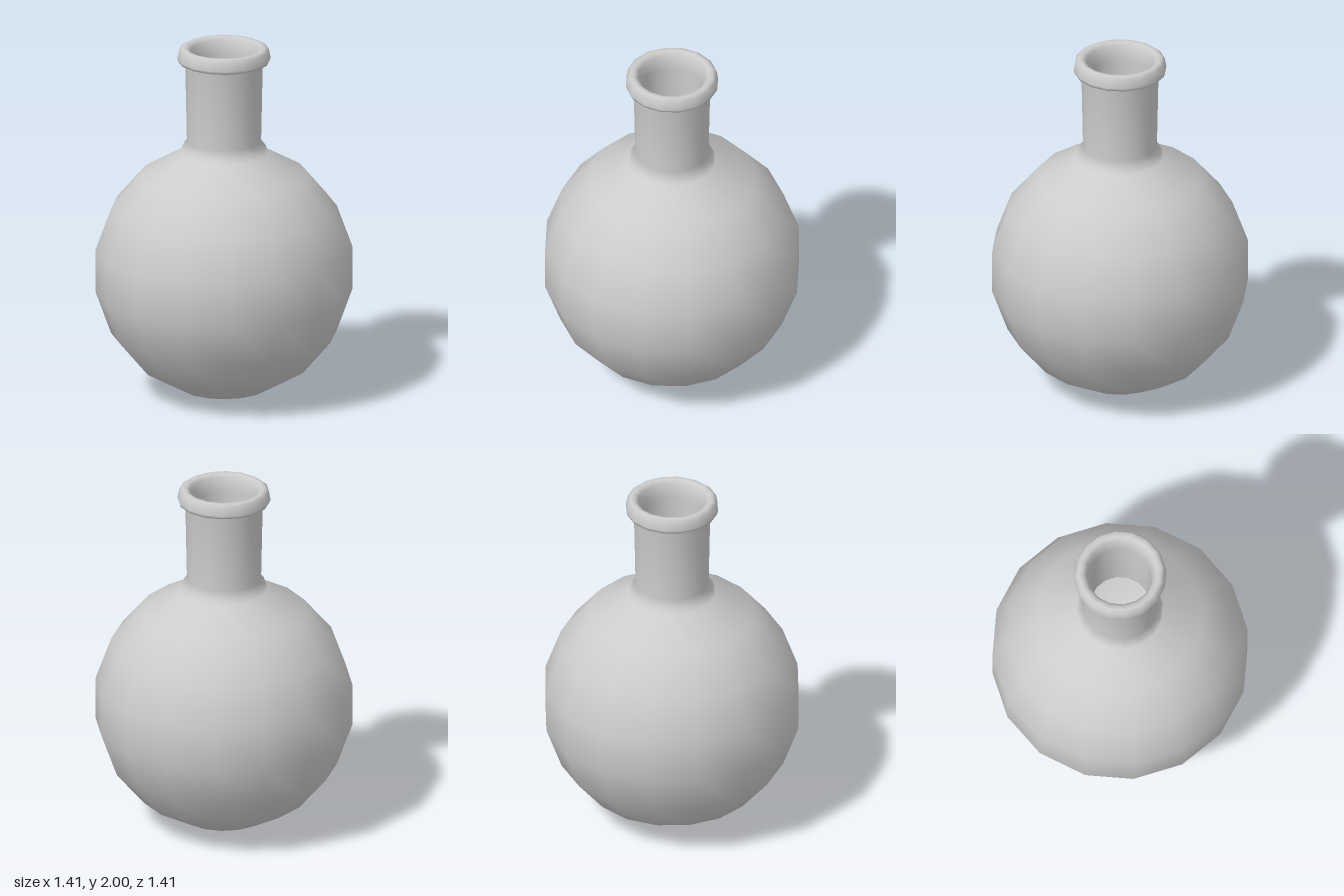
import * as THREE from 'three';

const SIDES = 16;

export function createModel() {
  const group = new THREE.Group();
  group.name = 'roundFlask';

  // Closed wall profile [radius, height]: outside going up, inside going down
  const outerBulb = [
    [0, 0.004], [0.24, 0.05], [0.46, 0.175], [0.62, 0.365], [0.705, 0.6],
    [0.705, 0.845], [0.62, 1.08], [0.46, 1.27], [0.24, 1.395],
  ];
  const outerNeck = [[0.23, 1.432], [0.204, 1.465], [0.213, 1.905]];
  const lip = [
    [0.25, 1.918], [0.256, 1.935], [0.247, 1.985], [0.228, 1.999],
    [0.205, 1.997], [0.187, 1.98], [0.178, 1.94],
  ];
  const innerNeck = [[0.17, 1.9], [0.164, 1.46], [0.19, 1.39]];
  // Inner bulb is the outer one shrunk about its centre
  const centreY = 0.7225;
  const innerBulb = outerBulb
    .map(([r, y]) => [r * 0.945, centreY + (y - centreY) * 0.945])
    .reverse();

  const profile = [...outerBulb, ...outerNeck, ...lip, ...innerNeck, ...innerBulb]
    .map(([r, y]) => new THREE.Vector2(r, y));
  const geometry = new THREE.LatheGeometry(profile, SIDES);

  // Straight normals at the poles keep the bottom smooth
  const count = profile.length;
  for (let i = 0; i <= SIDES; i++) {
    geometry.attributes.normal.setXYZ(i * count, 0, -1, 0);
    geometry.attributes.normal.setXYZ(i * count + count - 1, 0, 1, 0);
  }

  const flask = new THREE.Mesh(geometry, new THREE.MeshStandardMaterial({ color: 0xcccccc }));
  flask.name = 'flaskBody';
  group.add(flask);
  return group;
}
